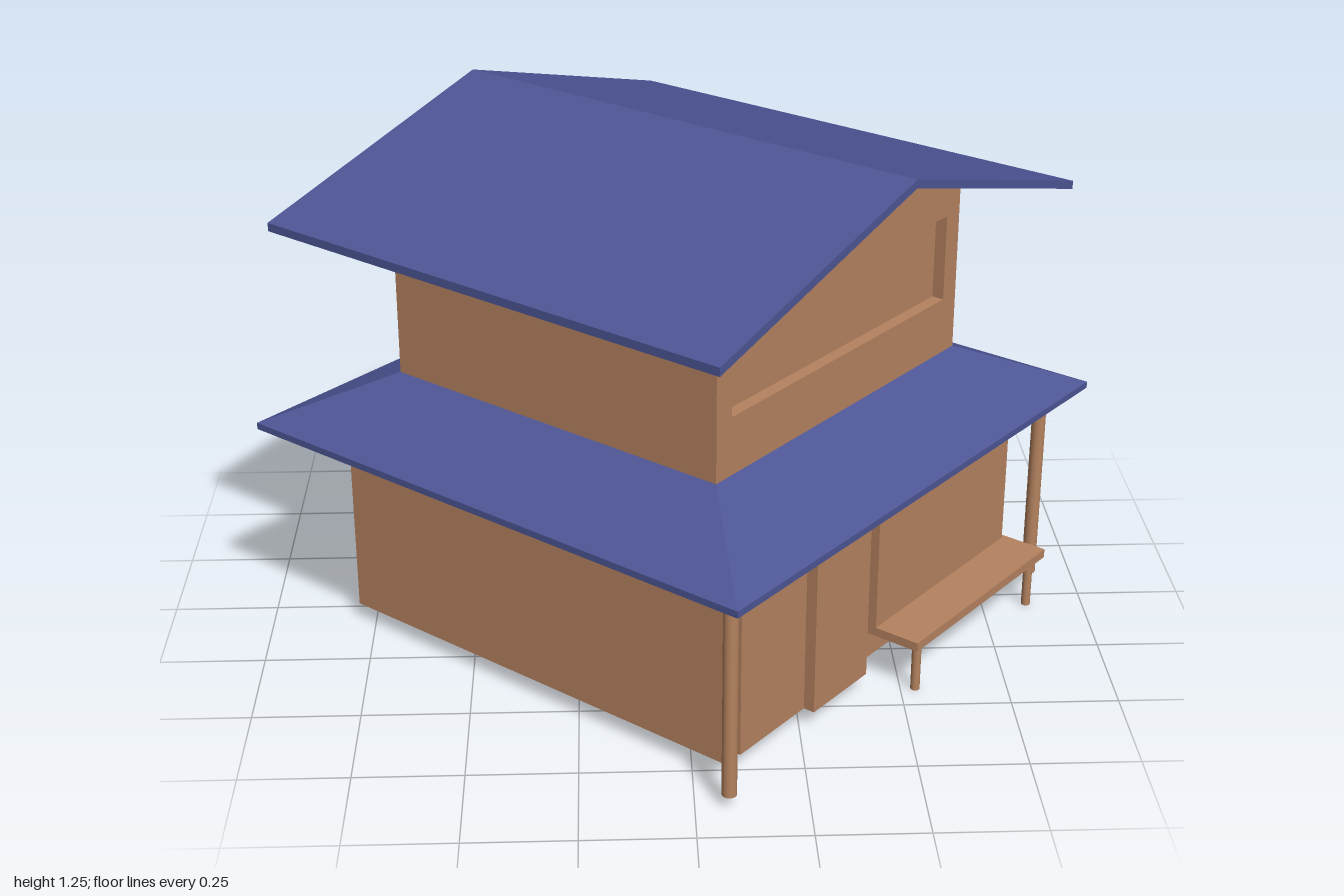
import * as THREE from 'three';

const brown = new THREE.MeshStandardMaterial({ color: 0xb5835f });
const cream = new THREE.MeshStandardMaterial({ color: 0xf0e8d8 });
const blue = new THREE.MeshStandardMaterial({ color: 0x4d5595 });

export function createModel() {
  const model = new THREE.Group();
  const house = new THREE.Group();
  house.name = 'house';
  house.rotation.y = 0.866; // the house stands turned on its plot
  model.add(house);

  const add = (name, geometry, material) => {
    const mesh = new THREE.Mesh(geometry, material);
    mesh.name = name;
    house.add(mesh);
    return mesh;
  };
  // Box given by its limits on each axis
  const box = (name, material, x0, x1, y0, y1, z0, z1) =>
    add(name, new THREE.BoxGeometry(x1 - x0, y1 - y0, z1 - z0), material)
      .position.set((x0 + x1) / 2, (y0 + y1) / 2, (z0 + z1) / 2);
  const outline = (points) => new THREE.Shape(points.map(([x, y]) => new THREE.Vector2(x, y)));
  const extrude = (name, material, shape, z0, z1) => {
    const geometry = new THREE.ExtrudeGeometry(shape, { depth: z1 - z0, bevelEnabled: false });
    add(name, geometry, material).position.z = z0;
  };

  // Ground floor with pale band under the eaves
  const low = 0.56;
  box('groundFloorWalls', brown, -low, low, 0.045, 0.44, -low, low);
  box('wallBand', cream, -low, low, 0.44, 0.54, -low, low);

  // Sliding door leaves and window bay on the front
  box('leftDoor', brown, -0.51, -0.27, 0.045, 0.435, low - 0.01, 0.572);
  box('rightDoor', brown, -0.27, -0.06, 0.045, 0.435, low - 0.01, 0.6);
  box('windowBay', brown, -0.01, 0.552, 0.14, 0.43, low - 0.01, 0.59);

  // Porch bench
  box('benchSeat', brown, -0.01, 0.565, 0.12, 0.142, low, 0.705);
  for (const x of [0.02, 0.523]) {
    add('benchLeg', new THREE.CylinderGeometry(0.011, 0.011, 0.12, 12), brown).position.set(x, 0.06, 0.685);
  }

  // Porch posts
  for (const x of [-0.626, 0.626]) {
    add('porchPost', new THREE.CylinderGeometry(0.017, 0.017, 0.51, 16), brown).position.set(x, 0.285, 0.63);
  }

  // Lower roof: eave slab with a four-sided slope up to the upper walls
  const eave = 0.71, high = 0.468;
  box('lowerEave', blue, -eave, eave, 0.532, 0.548, -eave, eave);
  const skirt = new THREE.CylinderGeometry(high * Math.SQRT2, eave * Math.SQRT2, 0.114, 4).toNonIndexed();
  skirt.rotateY(Math.PI / 4);
  skirt.computeVertexNormals();
  add('lowerRoof', skirt, blue).position.y = 0.605;

  // Upper floor with gables and a recessed front window
  const gable = () => outline([[-high, 0.62], [high, 0.62], [high, 1.103], [0, 1.237], [-high, 1.103]]);
  extrude('upperWalls', brown, gable(), -high, high - 0.03);
  const front = gable();
  front.holes.push(new THREE.Path([[-0.415, 0.8], [-0.415, 1.01], [0.415, 1.01], [0.415, 0.8]]
    .map(([x, y]) => new THREE.Vector2(x, y))));
  extrude('upperWindowWall', brown, front, high - 0.03, high);

  // Gable roof
  extrude('upperRoof', blue, outline([
    [-0.688, 1.04], [0, 1.235], [0.688, 1.04], [0.688, 1.06], [0, 1.255], [-0.688, 1.06],
  ]), -0.643, 0.643);

  return model;
}
